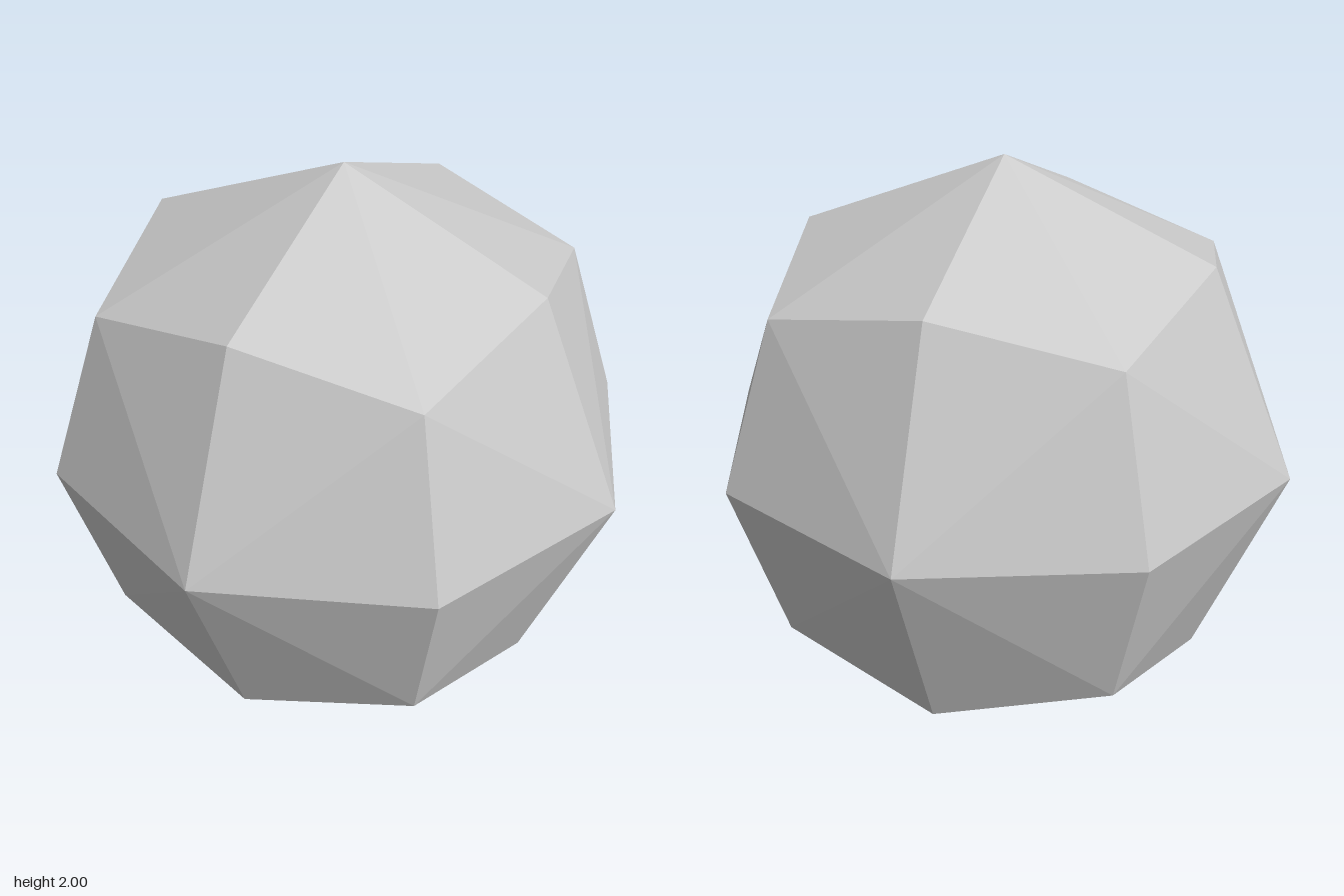
import * as THREE from 'three';

// One bulged cube side: an eight-triangle fan whose points are pushed onto the unit sphere.
function panelGeometry() {
  const geometry = new THREE.CircleGeometry(1, 8);
  const position = geometry.attributes.position;
  const point = new THREE.Vector3();
  for (let i = 0; i < position.count; i++) {
    point.set(Math.round(position.getX(i)), Math.round(position.getY(i)), 1).normalize();
    position.setXYZ(i, point.x, point.y, point.z);
  }
  geometry.computeVertexNormals();
  return geometry;
}

export function createModel() {
  const group = new THREE.Group();
  group.name = 'facetedBall';
  const material = new THREE.MeshStandardMaterial({ color: 0xcccccc, flatShading: true });
  const geometry = panelGeometry();
  const quarter = Math.PI / 2;

  // Six identical panels turned to face each axis direction
  const panels = [
    ['frontPanel', 0, 0],
    ['leftPanel', 0, quarter],
    ['backPanel', 0, 2 * quarter],
    ['rightPanel', 0, -quarter],
    ['topPanel', -quarter, 0],
    ['bottomPanel', quarter, 0],
  ];
  for (const [name, turnX, turnY] of panels) {
    const panel = new THREE.Mesh(geometry, material);
    panel.name = name;
    panel.rotation.set(turnX, turnY, 0);
    panel.position.y = 1;
    group.add(panel);
  }
  return group;
}
